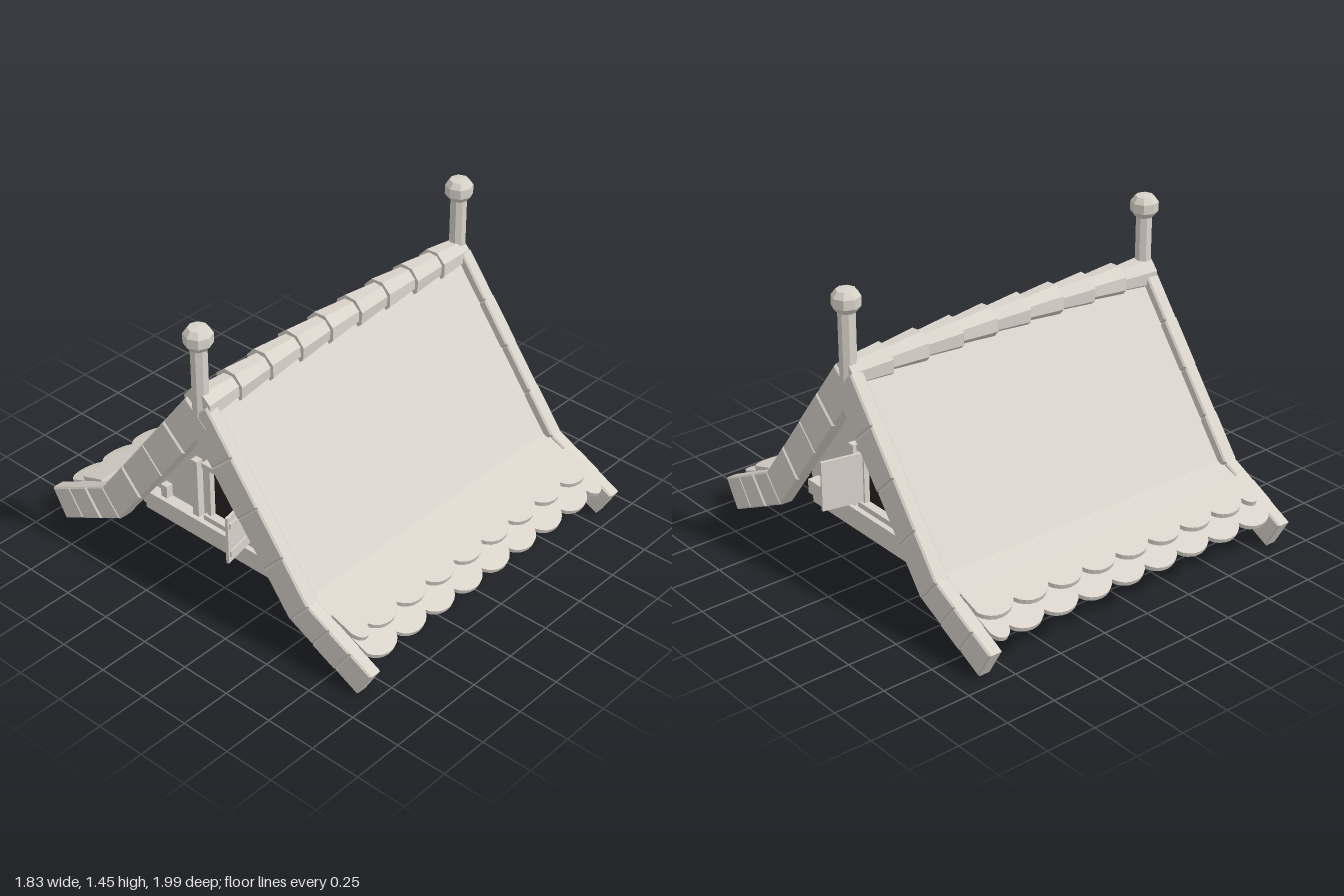
import * as THREE from 'three';

const stone = new THREE.MeshStandardMaterial({ color: 0xd8d2c9 });
stone.name = 'pale grey';
stone.flatShading = true;
stone.side = THREE.DoubleSide;
const dark = new THREE.MeshStandardMaterial({ color: 0x2a2020 });
dark.name = 'window dark';

function add(parent, name, geo, x = 0, y = 0, z = 0, mat = stone) {
  const m = new THREE.Mesh(geo, mat);
  m.name = name;
  m.position.set(x, y, z);
  parent.add(m);
  return m;
}

// Extrudes a (z, y) outline along x, centred on x = 0
function slab(points, width, bevel = 0) {
  const shape = new THREE.Shape(points.map(p => new THREE.Vector2(p[0], p[1])));
  const geo = new THREE.ExtrudeGeometry(shape, {
    depth: width - 2 * bevel, bevelEnabled: bevel > 0, bevelSize: bevel,
    bevelThickness: bevel, bevelOffset: -bevel, bevelSegments: 1,
  });
  return geo.translate(0, 0, -(width - 2 * bevel) / 2).rotateY(-Math.PI / 2);
}

// Row of scalloped shingles lying in the x/z plane, running down +z
function shingleRow(firstCusp, length, thick, half, flip) {
  const pitch = 0.193, dip = 0.055;
  const cusps = [-half];
  for (let c = firstCusp; c < half - 0.02; c += pitch) cusps.push(c);
  cusps.push(half);
  const s = new THREE.Shape();
  s.moveTo(flip * half, 0);
  s.lineTo(flip * -half, 0);
  s.lineTo(flip * -half, -(length - dip));
  for (let i = 1; i < cusps.length; i++) {
    const a = cusps[i - 1], b = cusps[i], w = b - a;
    const low = -(length + dip * 0.3 * Math.min(1, w / pitch));
    s.bezierCurveTo(flip * (a + w * 0.2), low, flip * (b - w * 0.2), low, flip * b, -(length - dip));
  }
  s.closePath();
  return new THREE.ExtrudeGeometry(s, { depth: thick, bevelEnabled: false, curveSegments: 8 })
    .rotateX(-Math.PI / 2);
}

const lerp = (a, b, t) => [a[0] + (b[0] - a[0]) * t, a[1] + (b[1] - a[1]) * t];

// Rafter made from short boards following the kinked roof line
function buildRafter(side, dir) {
  const g = new THREE.Group();
  g.name = 'rafter';
  const outer = [[0.06, 1.095], [0.638, 0.332], [0.997, 0.15]];
  const inner = [[-0.07, 0.985], [0.53, 0.204], [0.917, 0.01]];
  const counts = [4, 3];
  let n = 0;
  counts.forEach((count, k) => {
    for (let i = 0; i < count; i++, n++) {
      const t0 = i / count, t1 = (i + 1) / count;
      const pts = [
        lerp(inner[k], inner[k + 1], t0), lerp(inner[k], inner[k + 1], t1),
        lerp(outer[k], outer[k + 1], t1), lerp(outer[k], outer[k + 1], t0),
      ].map(p => [p[0] * dir, p[1]]);
      if (dir < 0) pts.reverse();
      const width = 0.066 + (n % 2) * 0.006 + (dir < 0 ? 0.003 : 0);
      add(g, 'rafterBoard', slab(pts, width, 0.008), side * 0.85);
    }
  });
  return g;
}

// Gable wall with rail, battens, window and open shutter
function buildGable(s) {
  const g = new THREE.Group();
  g.name = 'gable';
  const box = (name, z, y, w, h, x = 0.68, d = 0.04, mat = stone) =>
    add(g, name, new THREE.BoxGeometry(d, h, w), s * x, y, z, mat);

  add(g, 'gableWall', slab([[-0.59, 0.12], [0.59, 0.12], [0.59, 0.31], [0, 1.08], [-0.59, 0.31]], 0.008), s * 0.66);
  box('gableRail', 0, 0.245, 1.08, 0.07, 0.692, 0.06);
  for (const m of [-1, 1]) {
    box('tallBatten', m * 0.22, 0.43, 0.038, 0.31);
    box('shortBatten', m * 0.425, 0.3, 0.038, 0.09);
    for (const z of [0.22, 0.425]) box('railPeg', m * z, 0.202, 0.038, 0.02, 0.692, 0.04);
    box('windowStile', m * 0.133, 0.455, 0.024, 0.27);
  }
  box('windowHead', 0, 0.6, 0.31, 0.026, 0.688, 0.052);
  box('windowSill', 0, 0.312, 0.31, 0.026, 0.688, 0.052);
  box('windowOpening', 0, 0.457, 0.245, 0.264, 0.668, 0.008, dark);

  // Shutter hinged at the +z stile, swung outward
  const shutter = new THREE.Group();
  shutter.name = 'shutter';
  shutter.position.set(s * 0.7, 0.455, 0.135);
  shutter.rotation.y = -s * 0.2;
  add(shutter, 'shutterPanel', new THREE.BoxGeometry(0.2, 0.245, 0.014), s * 0.1);
  for (const y of [-0.075, 0.075]) {
    add(shutter, 'shutterBatten', new THREE.BoxGeometry(0.18, 0.03, 0.01), s * 0.1, y, 0.01);
  }
  g.add(shutter);
  return g;
}

export function createModel() {
  const model = new THREE.Group();
  model.name = 'gabledRoof';

  // Roof slopes with their flared eaves and two shingle rows
  for (const dir of [1, -1]) {
    const half = new THREE.Group();
    half.name = dir > 0 ? 'frontSlope' : 'backSlope';
    if (dir < 0) half.rotation.y = Math.PI;
    add(half, 'roofSheet', slab([
      [0, 1.105], [0, 1.075], [0.578, 0.302], [0.88, 0.172], [0.88, 0.19], [0.59, 0.322],
    ], 1.64));
    const lower = add(half, 'lowerShingles', shingleRow(-0.63, 0.368, 0.022, 0.82, dir), 0, 0.297, 0.62);
    lower.rotation.x = Math.atan(0.4);
    const upper = add(half, 'upperShingles', shingleRow(-0.725, 0.178, 0.025, 0.82, dir), 0, 0.275, 0.71);
    upper.rotation.x = Math.atan(0.34);
    model.add(half);
  }

  // Overlapping tapered ridge tiles, rising slightly to the middle
  for (let i = 0; i < 9; i++) {
    const x = -0.768 + i * 0.192;
    const geo = new THREE.CylinderGeometry(0.083, 0.064, 0.205, 8)
      .rotateY(Math.PI / 8).rotateZ(Math.PI / 2);
    const tile = add(model, 'ridgeTile', geo, x, 1.068 + 0.024 * (1 - (x / 0.85) ** 2));
    tile.rotation.z = 0.03 * Math.cos(i * 0.4);
    tile.rotation.x = i % 2 ? 0.08 : -0.05;
  }

  // Both ends: rafters, gable, post and knob
  const knob = [[0, 1.355], [0.045, 1.358], [0.066, 1.385], [0.066, 1.43], [0.045, 1.458], [0, 1.463]]
    .map(p => new THREE.Vector2(p[0], p[1]));
  for (const s of [1, -1]) {
    model.add(buildRafter(s, 1), buildRafter(s, -1), buildGable(s));
    add(model, 'ridgePost', new THREE.CylinderGeometry(0.04, 0.04, 0.34, 8).rotateY(Math.PI / 8), s * 0.85, 1.2);
    add(model, 'postKnob', new THREE.LatheGeometry(knob, 8), s * 0.85);
  }
  return model;
}
